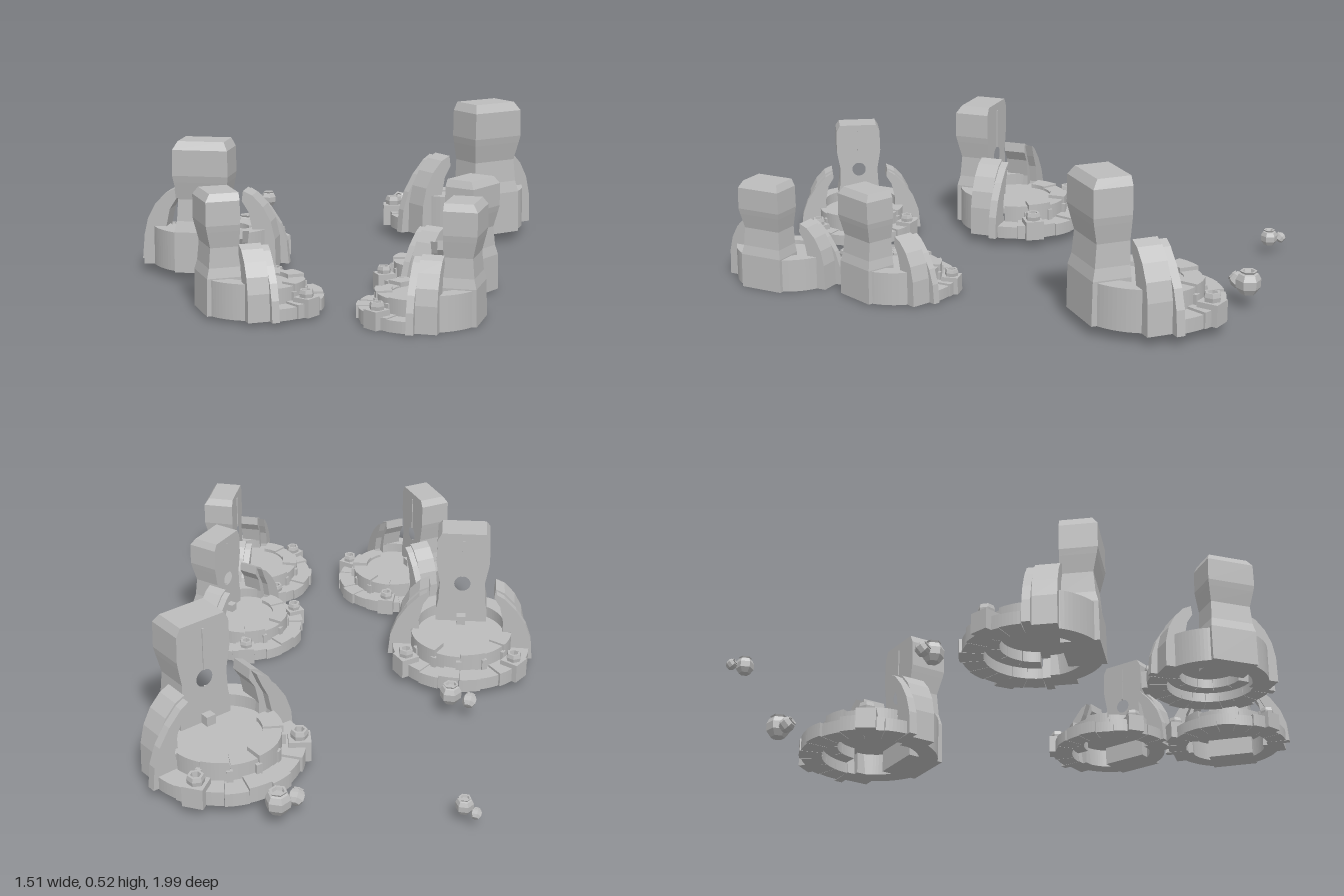
import * as THREE from 'three';

const stone = new THREE.MeshStandardMaterial({ color: 0xbcbcbc });
stone.name = 'grey stone';

const rad = THREE.MathUtils.degToRad;

function part(name, geometry, parent, x = 0, y = 0, z = 0) {
  const flat = geometry.index ? geometry.toNonIndexed() : geometry;
  flat.computeVertexNormals();
  const mesh = new THREE.Mesh(flat, stone);
  mesh.name = name;
  mesh.position.set(x, y, z);
  parent.add(mesh);
  return mesh;
}

// Curved block between two radii; angles in degrees from +z towards +x
function arcBlock(r0, r1, a0, a1, height, segments = 3) {
  const s = new THREE.Shape();
  const b = rad(a0 - 90), e = rad(a1 - 90);
  s.absarc(0, 0, r1, b, e, false);
  s.absarc(0, 0, r0, e, b, true);
  const g = new THREE.ExtrudeGeometry(s, { depth: height, bevelEnabled: false, curveSegments: segments });
  return g.rotateX(-Math.PI / 2);
}

// Side profile (sideways, up) with thickness along z
function profileSlab(points, thickness) {
  const s = new THREE.Shape(points.map(p => new THREE.Vector2(...p)));
  const g = new THREE.ExtrudeGeometry(s, { depth: thickness, bevelEnabled: false });
  return g.translate(0, 0, -thickness / 2);
}

// Obelisk sections: height, half width, front z; the back is flat
const rows = [
  [0, 0.1, 0.235], [0.15, 0.1, 0.232], [0.19, 0.092, 0.222], [0.27, 0.088, 0.215],
  [0.335, 0.1, 0.23], [0.36, 0.104, 0.235], [0.455, 0.102, 0.235], [0.485, 0.086, 0.215],
];
const backZ = 0.097;

// Front, sides and top of the tall slab, open at the back
function obeliskShell() {
  const g = new THREE.BoxGeometry(2, 1, 2, 1, rows.length - 1, 1);
  const p = g.attributes.position;
  for (let i = 0; i < p.count; i++) {
    const [y, w, front] = rows[Math.round((p.getY(i) + 0.5) * (rows.length - 1))];
    p.setXYZ(i, Math.sign(p.getX(i)) * w, y, p.getZ(i) > 0 ? front : backZ);
  }
  g.setIndex(Array.from(g.index.array).slice(0, g.groups[5].start));
  g.clearGroups();
  return g;
}

// Back panel with a round opening
function obeliskBack() {
  const right = rows.map(([y, w]) => new THREE.Vector2(w, y));
  const left = rows.map(([y, w]) => new THREE.Vector2(-w, y)).reverse();
  const s = new THREE.Shape([...right, ...left]);
  s.holes.push(new THREE.Path().absarc(0, 0.268, 0.032, 0, Math.PI * 2, true));
  return new THREE.ShapeGeometry(s, 10).rotateY(Math.PI);
}

function createPost(parent, angle) {
  const post = new THREE.Group();
  post.name = 'post';
  post.position.set(0.25 * Math.sin(rad(angle)), 0, 0.25 * Math.cos(rad(angle)));
  post.rotation.y = rad(angle);
  part('postBase', new THREE.BoxGeometry(0.072, 0.075, 0.075), post, 0, 0.0375, 0);
  // hollow six-sided cup
  const cup = [[0.028, 0.07], [0.031, 0.09], [0.027, 0.105], [0.018, 0.105], [0.016, 0.085], [0, 0.085]];
  part('postCup', new THREE.LatheGeometry(cup.map(q => new THREE.Vector2(...q)), 6), post);
  parent.add(post);
}

function createShrine(x, y, z, scale, turn) {
  const shrine = new THREE.Group();
  shrine.name = 'shrine';

  // Low outer ring of stones around the back
  const radii = [0.264, 0.27, 0.262, 0.268, 0.264, 0.272, 0.262, 0.27, 0.264, 0.268];
  radii.forEach((r, i) => {
    const a = 92 + i * 17.6;
    const h = [0.048, 0.056, 0.052][i % 3];
    part('ringStone', arcBlock(0.185, r, a + 0.2, a + 17.4, h), shrine);
  });

  // Taller inner step, raised off the ground
  const heights = [0.112, 0.12, 0.106, 0.118, 0.11, 0.116];
  heights.forEach((h, i) => {
    const a = 93 + i * 29;
    const r = i % 2 ? 0.198 : 0.192;
    part('stepStone', arcBlock(0.13, r, a + 0.5, a + 28.5, h - 0.04, 4), shrine, 0, 0.04, 0);
    if (i) part('stepWedge', arcBlock(0.16, 0.205, a - 4, a + 2, 0.05, 2), shrine, 0, 0.04, 0);
  });
  part('floor', new THREE.CylinderGeometry(0.19, 0.19, 0.02, 20), shrine, 0, 0.09, 0);

  // High front wall on both sides of the obelisk
  for (const start of [20, -80]) {
    part('frontWall', arcBlock(0.17, 0.238, start, start + 60, 0.145, 8), shrine);
  }

  // Obelisk with a seam above the opening and a peg below it
  part('obeliskShell', obeliskShell(), shrine);
  part('obeliskBack', obeliskBack(), shrine, 0, 0, backZ);
  part('backSeam', new THREE.BoxGeometry(0.008, 0.155, 0.008), shrine, 0, 0.378, backZ);
  part('backPeg', new THREE.BoxGeometry(0.035, 0.04, 0.04), shrine, 0, 0.115, 0.085);

  // Curved buttresses: a thick block and a thin outer rib behind it
  const block = [[0.16, 0], [0.252, 0], [0.249, 0.11], [0.234, 0.175], [0.205, 0.23],
    [0.165, 0.272], [0.13, 0.288], [0.125, 0.25], [0.15, 0.21], [0.165, 0.14]];
  const rib = [[0.18, 0], [0.283, 0], [0.275, 0.085], [0.252, 0.15], [0.212, 0.212],
    [0.165, 0.262], [0.135, 0.28], [0.155, 0.23], [0.18, 0.18], [0.195, 0.11]];
  for (const side of [-1, 1]) {
    const buttress = new THREE.Group();
    buttress.name = side > 0 ? 'leftButtress' : 'rightButtress';
    // a half turn puts the profile on the other side
    if (side < 0) buttress.rotation.y = Math.PI;
    part('buttressBlock', profileSlab(block, 0.088), buttress, 0, 0, side * 0.067);
    part('buttressRib', profileSlab(rib, 0.03), buttress, 0, 0, side * 0.008);
    shrine.add(buttress);
    createPost(shrine, side * 124);
  }

  shrine.position.set(x, y, z);
  shrine.rotation.y = rad(turn);
  shrine.scale.setScalar(scale);
  return shrine;
}

// Faceted pot with a small lip
function createJar(x, y, z, r) {
  const jar = new THREE.Group();
  jar.name = 'jar';
  const profile = [[0, -0.95], [0.6, -0.92], [0.97, -0.4], [1, 0.25], [0.78, 0.7], [0.6, 0.78],
    [0.7, 0.95], [0.5, 0.95], [0.42, 0.7], [0, 0.7]];
  part('jarBody', new THREE.LatheGeometry(profile.map(([a, b]) => new THREE.Vector2(a * r, b * r)), 6), jar);
  jar.position.set(x, y, z);
  return jar;
}

export function createModel() {
  const model = new THREE.Group();
  model.name = 'shrineCluster';

  // x, base height, z, scale, turn in degrees
  const shrines = [
    [0.489, 0.035, -0.426, 1, 21],
    [-0.496, 0.03, -0.034, 0.92, -22],
    [0.188, 0.004, 0.398, 0.78, 41],
    [0.038, 0, 0.778, 0.78, 62],
    [-0.451, 0.01, 0.563, 0.79, -83],
  ];
  shrines.forEach(s => model.add(createShrine(...s)));

  // A large and a small jar in each pair
  const jars = [
    [0.405, 0.09, -0.78, 0.043], [0.338, 0.075, -0.754, 0.028],
    [-0.34, 0.085, -0.345, 0.038], [-0.393, 0.07, -0.387, 0.025],
    [-0.16, 0.062, -0.938, 0.03], [-0.182, 0.054, -0.982, 0.018],
  ];
  jars.forEach((j, i) => {
    const jar = createJar(...j);
    if (i % 2) jar.rotation.set(0.9, 0, 0.5);
    model.add(jar);
  });
  return model;
}
